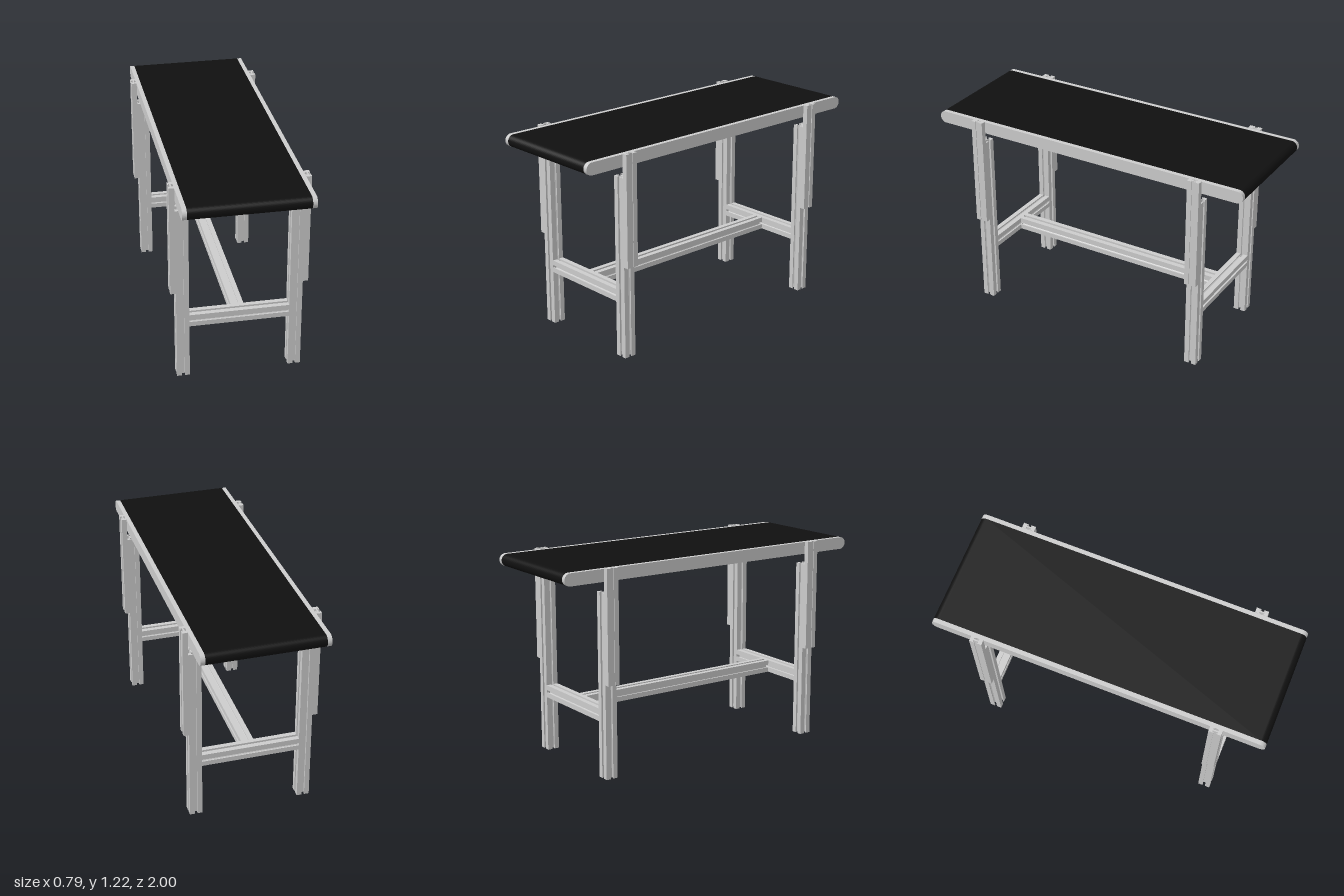
import * as THREE from 'three';

const grey = new THREE.MeshStandardMaterial({ color: 0xcccccc });
const black = new THREE.MeshStandardMaterial({ color: 0x101010 });

const W = 0.074;        // width of an extruded bar
const LEG_X = 0.325;    // leg centre line
const LEG_Z = 0.715;
const RAIL_Y = 0.367;   // height of the lower frame
const POST_T = 0.031;   // thickness of the outer posts

// Square aluminium bar with a T-slot in each of its four sides
function slotBarShape() {
  const h = W / 2, o = 0.008, lip = h - 0.007, c = 0.018, d = 0.0145;
  const side = [[h, -h], [h, -o], [lip, -o], [lip, -c], [d + 0.004, -c], [d, -c + 0.006],
    [d, c - 0.006], [d + 0.004, c], [lip, c], [lip, o], [h, o]];
  const pts = [];
  for (let i = 0; i < 4; i++) {
    const cs = [1, 0, -1, 0][i], sn = [0, 1, 0, -1][i];
    for (const [x, y] of side) pts.push(new THREE.Vector2(x * cs - y * sn, x * sn + y * cs));
  }
  return new THREE.Shape(pts);
}

// Flat bar with one slot in each broad face
function flatBarShape() {
  const t = POST_T / 2, h = W / 2, o = 0.008, c = 0.015, lip = t - 0.004, d = 0.004;
  const half = [[t, -h], [t, -o], [lip, -o], [lip, -c], [d, -c], [d, c], [lip, c], [lip, o], [t, o], [t, h]];
  return new THREE.Shape([...half, ...half.map(([x, y]) => [-x, -y])].map(p => new THREE.Vector2(...p)));
}

// Long shape with half-round ends
function stadiumShape(halfLength, r) {
  const s = new THREE.Shape();
  s.absarc(halfLength - r, 0, r, -Math.PI / 2, Math.PI / 2);
  s.absarc(-halfLength + r, 0, r, Math.PI / 2, Math.PI * 1.5);
  s.closePath();
  return s;
}

// Extrusion centred on its own length (along z)
function extrude(shape, length) {
  return new THREE.ExtrudeGeometry(shape, { depth: length, bevelEnabled: false, curveSegments: 16 })
    .translate(0, 0, -length / 2);
}

export function createModel() {
  const model = new THREE.Group();
  model.name = 'conveyorTable';

  const add = (name, geometry, material, x, y, z) => {
    const mesh = new THREE.Mesh(geometry, material);
    mesh.name = name;
    mesh.position.set(x, y, z);
    model.add(mesh);
  };

  // Conveyor bed: belt between two side rails
  const bedY = 1.176;
  add('belt', extrude(stadiumShape(1, 0.0358), 0.672).rotateY(Math.PI / 2), black, 0, bedY, 0);
  const railGeo = extrude(stadiumShape(1, 0.036), 0.026).rotateY(Math.PI / 2);

  // Legs and posts stand upright
  const legGeo = extrude(slotBarShape(), 1.075).rotateX(-Math.PI / 2);
  const postGeo = extrude(flatBarShape(), 0.66).rotateX(-Math.PI / 2);

  for (const sx of [1, -1]) {
    const side = sx > 0 ? 'left' : 'right';
    add(side + 'SideRail', railGeo, grey, sx * 0.349, bedY, 0);
    for (const sz of [1, -1]) {
      const end = sz > 0 ? 'Front' : 'Back';
      add(side + end + 'Leg', legGeo, grey, sx * LEG_X, 0.5375, sz * LEG_Z);
      add(side + end + 'Post', postGeo, grey, sx * (0.362 + POST_T / 2), 0.885, sz * LEG_Z);
    }
  }

  // Lower frame: a cross bar at each end joined by a long centre beam
  const crossGeo = extrude(slotBarShape(), 2 * LEG_X - W).rotateY(Math.PI / 2);
  add('frontCrossBar', crossGeo, grey, 0, RAIL_Y, LEG_Z);
  add('backCrossBar', crossGeo, grey, 0, RAIL_Y, -LEG_Z);
  add('centreBeam', extrude(slotBarShape(), 2 * LEG_Z - W), grey, 0, RAIL_Y, 0);

  return model;
}
